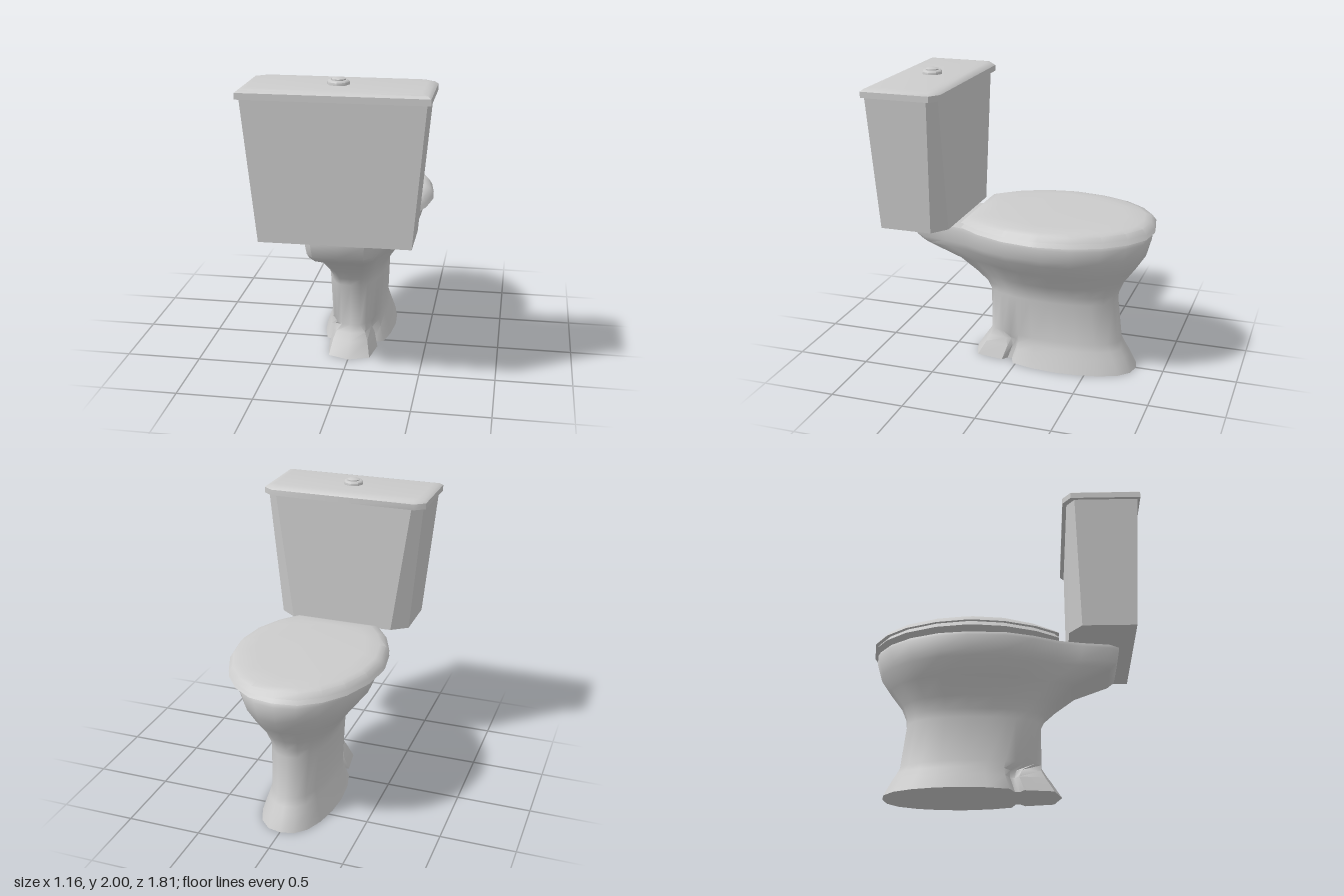
import * as THREE from 'three';
import { toCreasedNormals } from 'three/addons/utils/BufferGeometryUtils.js';

const material = new THREE.MeshStandardMaterial({ color: 0xcccccc });

// Completes a half outline of [x, z] points, listed from -z to +z, by mirroring it in x.
function mirror(half) {
  return [...half, ...half.slice(1, -1).reverse().map(([x, z]) => [-x, z])];
}

// Skins a stack of closed rings ([x, y, z] points, bottom to top) and caps both ends.
function loft(name, rings, crease = 0.7) {
  const n = rings[0].length;
  const index = [];
  for (let r = 0; r < rings.length - 1; r++) {
    for (let i = 0; i < n; i++) {
      const a = r * n + i, b = r * n + (i + 1) % n;
      index.push(a, a + n, b, b, a + n, b + n);
    }
  }
  const cap = (r, up) => {
    const pts = rings[r].map(([x, , z]) => new THREE.Vector2(x, z));
    for (const [a, b, c] of THREE.ShapeUtils.triangulateShape(pts.slice(), [])) {
      const turn = pts[b].clone().sub(pts[a]).cross(pts[c].clone().sub(pts[a]));
      const flip = (turn < 0) !== up;
      index.push(r * n + a, r * n + (flip ? c : b), r * n + (flip ? b : c));
    }
  };
  cap(0, false);
  cap(rings.length - 1, true);
  const geometry = new THREE.BufferGeometry();
  geometry.setAttribute('position', new THREE.Float32BufferAttribute(rings.flat(2), 3));
  geometry.setIndex(index);
  const mesh = new THREE.Mesh(toCreasedNormals(geometry, crease), material);
  mesh.name = name;
  return mesh;
}

// Half outlines of the bowl at the rim, the waist and the floor (with bolt notches).
const RIM = [[0, -0.885], [0.14, -0.86], [0.26, -0.77], [0.36, -0.63], [0.43, -0.44], [0.45, -0.25],
  [0.43, 0], [0.37, 0.18], [0.29, 0.34], [0.25, 0.5], [0.22, 0.68], [0.17, 0.745], [0, 0.745]];
const WAIST = [[0, -0.67], [0.07, -0.655], [0.13, -0.6], [0.17, -0.52], [0.195, -0.4], [0.205, -0.25],
  [0.195, -0.1], [0.18, 0], [0.16, 0.06], [0.14, 0.12], [0.11, 0.18], [0.07, 0.215], [0, 0.22]];
const FLOOR = [[0, -0.81], [0.09, -0.79], [0.16, -0.72], [0.21, -0.6], [0.24, -0.45], [0.25, -0.3],
  [0.235, -0.12], [0.2, 0.02], [0.13, 0.05], [0.13, 0.08], [0.17, 0.11], [0.14, 0.3], [0, 0.35]];

// Scales an outline to width 1 and length 0..1.
function normalise(half) {
  const width = Math.max(...half.map((p) => p[0]));
  const front = half[0][1], length = half[half.length - 1][1] - front;
  return half.map(([x, z]) => [x / width, (z - front) / length]);
}

function makeBowl() {
  const rim = normalise(RIM), waist = normalise(WAIST), floor = normalise(FLOOR);
  // y, front z, back z, half width, end outline, blend from waist to that outline
  const levels = [
    [0, -0.81, 0.35, 0.25, floor, 1],
    [0.1, -0.76, 0.285, 0.215, floor, 0.95],
    [0.15, -0.73, 0.25, 0.2, floor, 0.7],
    [0.2, -0.705, 0.22, 0.185, rim, 0],
    [0.49, -0.67, 0.22, 0.2, rim, 0],
    [0.545, -0.675, 0.245, 0.21, rim, 0.1],
    [0.62, -0.705, 0.32, 0.25, rim, 0.3],
    [0.73, -0.785, 0.45, 0.33, rim, 0.6],
    [0.83, -0.85, 0.68, 0.41, rim, 0.9],
    [0.87, -0.862, 0.725, 0.425, rim, 1],
    [0.96, -0.887, 0.745, 0.45, rim, 1],
    [0.985, -0.875, 0.745, 0.44, rim, 1],
  ];
  const rings = levels.map(([y, front, back, width, shape, k]) => mirror(waist.map(([x, s], i) => [
    width * THREE.MathUtils.lerp(x, shape[i][0], k),
    front + (back - front) * THREE.MathUtils.lerp(s, shape[i][1], k),
  ])).map(([x, z]) => [x, y, z]));
  return loft('bowl', rings, 0.9);
}

// Oval with a straight back edge, shared by the seat and its cover.
const SEAT = mirror([[0, -0.905], [0.16, -0.88], [0.29, -0.79], [0.4, -0.65], [0.48, -0.45],
  [0.51, -0.25], [0.51, -0.2], [0.48, 0], [0.4, 0.2], [0.3, 0.345], [0, 0.345]]);

// Seat ring at height y, shrunk towards its middle; drop lowers the back edge.
function seatRing(y, scale, drop = 0) {
  return SEAT.map(([x, z]) => {
    const zz = -0.28 + (z + 0.28) * scale;
    return [x * scale, y - drop * THREE.MathUtils.clamp((zz - 0.05) / 0.25, 0, 1), zz];
  });
}

// Rectangle with its two front (-z) corners cut off.
function tankRing(y, x, front, back, cut) {
  return mirror([[0, front], [x - cut, front], [x, front + cut * 0.75], [x, back], [0, back]])
    .map(([px, pz]) => [px, y, pz]);
}

export function createModel() {
  const model = new THREE.Group();
  model.name = 'toilet';

  model.add(makeBowl());
  model.add(loft('seat', [seatRing(1, 1), seatRing(1.035, 0.955)]));
  model.add(loft('seatCover', [
    seatRing(1.035, 1), seatRing(1.07, 0.955, 0.012), seatRing(1.082, 0.88, 0.008), seatRing(1.09, 0.72),
  ]));

  // Cistern widening upwards, with a bevelled lid
  model.add(loft('tank', [
    tankRing(1, 0.475, 0.41, 0.845, 0.11), tankRing(1.9, 0.557, 0.41, 0.885, 0.07),
  ], 0.5));
  model.add(loft('tankLid', [
    tankRing(1.9, 0.58, 0.383, 0.902, 0.07), tankRing(1.94, 0.58, 0.383, 0.902, 0.07),
    tankRing(1.955, 0.56, 0.4, 0.885, 0.065), tankRing(1.962, 0.52, 0.43, 0.855, 0.055),
  ]));

  // Flush button: octagonal collar with a small domed push piece
  const profile = [[0.07, 1.955], [0.07, 1.978], [0.06, 1.988], [0.045, 1.988], [0.045, 1.995], [0.035, 2], [0, 2]];
  const button = new THREE.Mesh(toCreasedNormals(
    new THREE.LatheGeometry(profile.map(([r, y]) => new THREE.Vector2(r, y)), 8), 0.9), material);
  button.name = 'flushButton';
  button.position.z = 0.65;
  model.add(button);

  return model;
}
